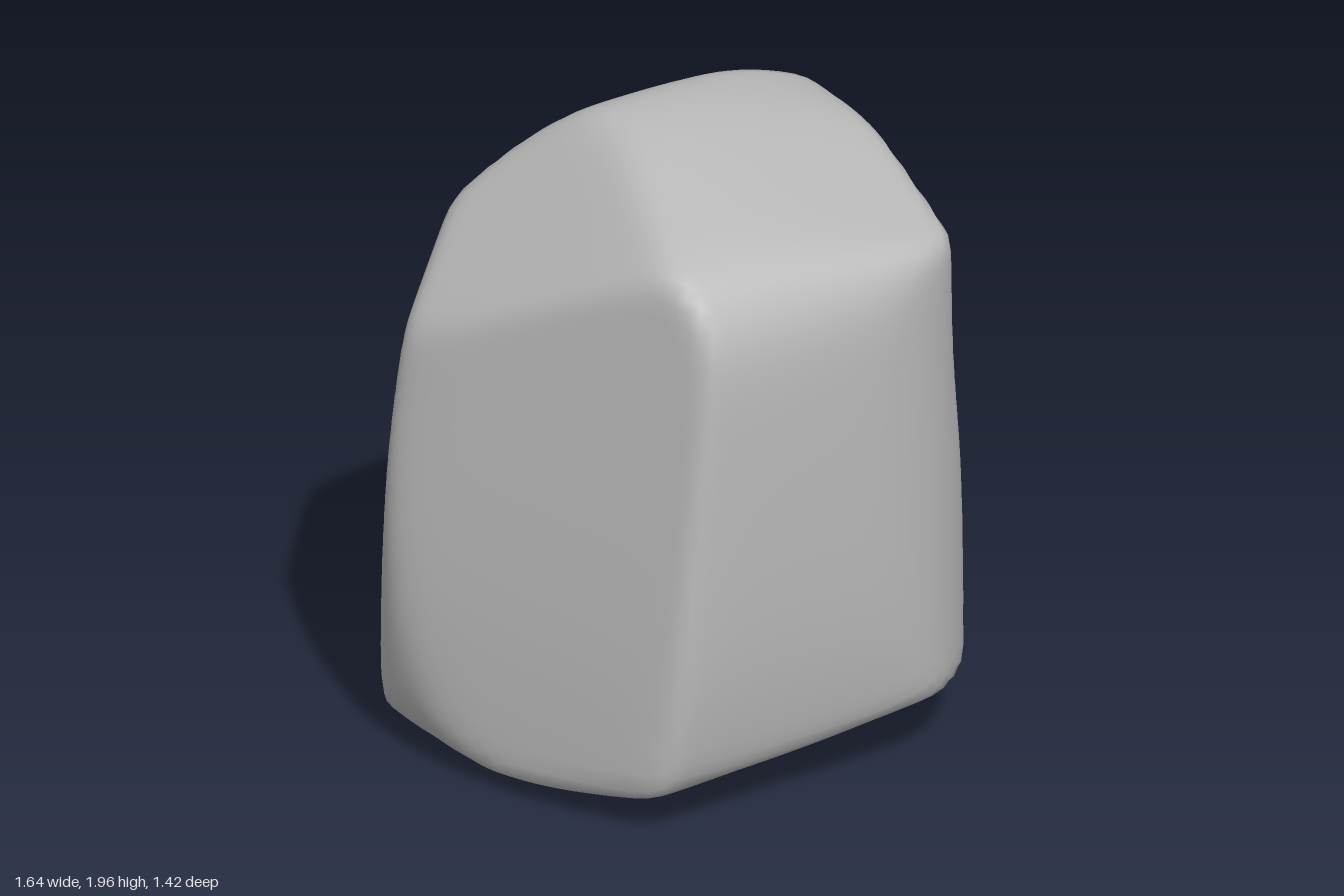
import * as THREE from 'three';
import { mergeVertices } from 'three/addons/utils/BufferGeometryUtils.js';

const CENTER = new THREE.Vector3(0, 1, 0);
const SHARPNESS = 50;           // higher gives tighter edges
const SWELL = 1.01;             // makes up for the rounding of edges

// Main facets, each a plane: nx*x + ny*y + nz*z = c
const FACETS = [
  [0.03, 0, 1, 0.72],           // front
  [0.19, 1, 0.27, 1.965],       // sloping top
  [1, 0.1, 0.19, 0.855],        // +x side
  [-1, 0.1, 0.37, 0.785],       // -x side
  [0.25, 0.2, -1, 0.87],        // leaning back
  [-0.6, 0.1, -0.8, 0.88],      // back corner bevel
  [-0.94, 1, -0.145, 2.14],     // shoulder bevel
  [0.09, -1, 0.17, -0.08],      // underside
];

// Counter-clockwise outlines that round off the edges between facets
const OUTLINE_XY = [
  [0.67, 0.06], [0.76, 0.13], [0.81, 0.3], [0.83, 0.57], [0.71, 1.75], [0.69, 1.82],
  [0.6, 1.87], [0.2, 1.97], [0, 2], [-0.2, 1.97], [-0.42, 1.83], [-0.65, 1.6],
  [-0.75, 1.38], [-0.83, 0.9], [-0.84, 0.6], [-0.82, 0.35], [-0.77, 0.13],
  [-0.68, 0.05], [-0.45, 0],
];
const OUTLINE_ZY = [
  [0.59, 0.15], [0.63, 0.2], [0.69, 0.54], [0.715, 1], [0.72, 1.4], [0.69, 1.62],
  [0.65, 1.71], [0.59, 1.79], [0.5, 1.84], [-0.15, 2], [-0.27, 1.99], [-0.37, 1.93],
  [-0.5, 1.79], [-0.62, 1.55], [-0.67, 1.31], [-0.725, 0.6], [-0.71, 0.39],
  [-0.67, 0.18], [-0.63, 0.09], [-0.37, 0], [0, 0.035],
];
const OUTLINE_XZ = [
  [-0.84, -0.29], [-0.78, -0.45], [-0.67, -0.56], [-0.465, -0.68], [-0.26, -0.725],
  [0, -0.73], [0.25, -0.7], [0.47, -0.65], [0.675, -0.55], [0.79, -0.45], [0.83, -0.29],
  [0.82, -0.02], [0.765, 0.27], [0.7, 0.45], [0.585, 0.57], [0.47, 0.64], [0.25, 0.7],
  [-0.22, 0.72], [-0.465, 0.685], [-0.52, 0.6],
];

// One tangent plane for every edge of an outline
function tangentPlanes(outline, toNormal) {
  return outline.map(([a, b], i) => {
    const [a2, b2] = outline[(i + 1) % outline.length];
    const length = Math.hypot(a2 - a, b2 - b);
    const u = (b2 - b) / length, v = (a - a2) / length;
    const c = Math.max(...outline.map(([s, t]) => u * s + v * t));
    return [...toNormal(u, v), c];
  });
}

const PLANES = [
  ...FACETS,
  ...tangentPlanes(OUTLINE_XY, (u, v) => [u, v, 0]),
  ...tangentPlanes(OUTLINE_ZY, (u, v) => [0, v, u]),
  ...tangentPlanes(OUTLINE_XZ, (u, v) => [u, 0, v]),
];

// Distance from the centre to the blended planes along direction d
function radius(d) {
  let sum = 0;
  for (const [nx, ny, nz, c] of PLANES) {
    const reach = (nx * d.x + ny * d.y + nz * d.z) / (c - ny * CENTER.y);
    if (reach > 0) sum += reach ** SHARPNESS;
  }
  return SWELL * sum ** (-1 / SHARPNESS);
}

function boulderGeometry() {
  let geo = new THREE.IcosahedronGeometry(1, 30);
  geo.deleteAttribute('uv');
  geo.deleteAttribute('normal');
  geo = mergeVertices(geo, 1e-5);
  const pos = geo.attributes.position;
  const p = new THREE.Vector3();
  for (let i = 0; i < pos.count; i++) {
    p.fromBufferAttribute(pos, i).normalize();
    p.multiplyScalar(radius(p)).add(CENTER);
    // Shallow worn hollow high on the +x side
    if (p.x > 0.3) {
      const dy = (p.y - 1.32) / 0.3, dz = (p.z - 0.2) / 0.33;
      p.x -= 0.035 * Math.exp(-dy * dy - dz * dz);
    }
    pos.setXYZ(i, p.x, p.y, p.z);
  }
  geo.computeVertexNormals();
  return geo;
}

export function createModel() {
  const stone = new THREE.MeshStandardMaterial({ color: 0xbababa });
  stone.name = 'stone grey';
  const boulder = new THREE.Mesh(boulderGeometry(), stone);
  boulder.name = 'boulder';
  const group = new THREE.Group();
  group.name = 'rock';
  group.add(boulder);
  return group;
}
